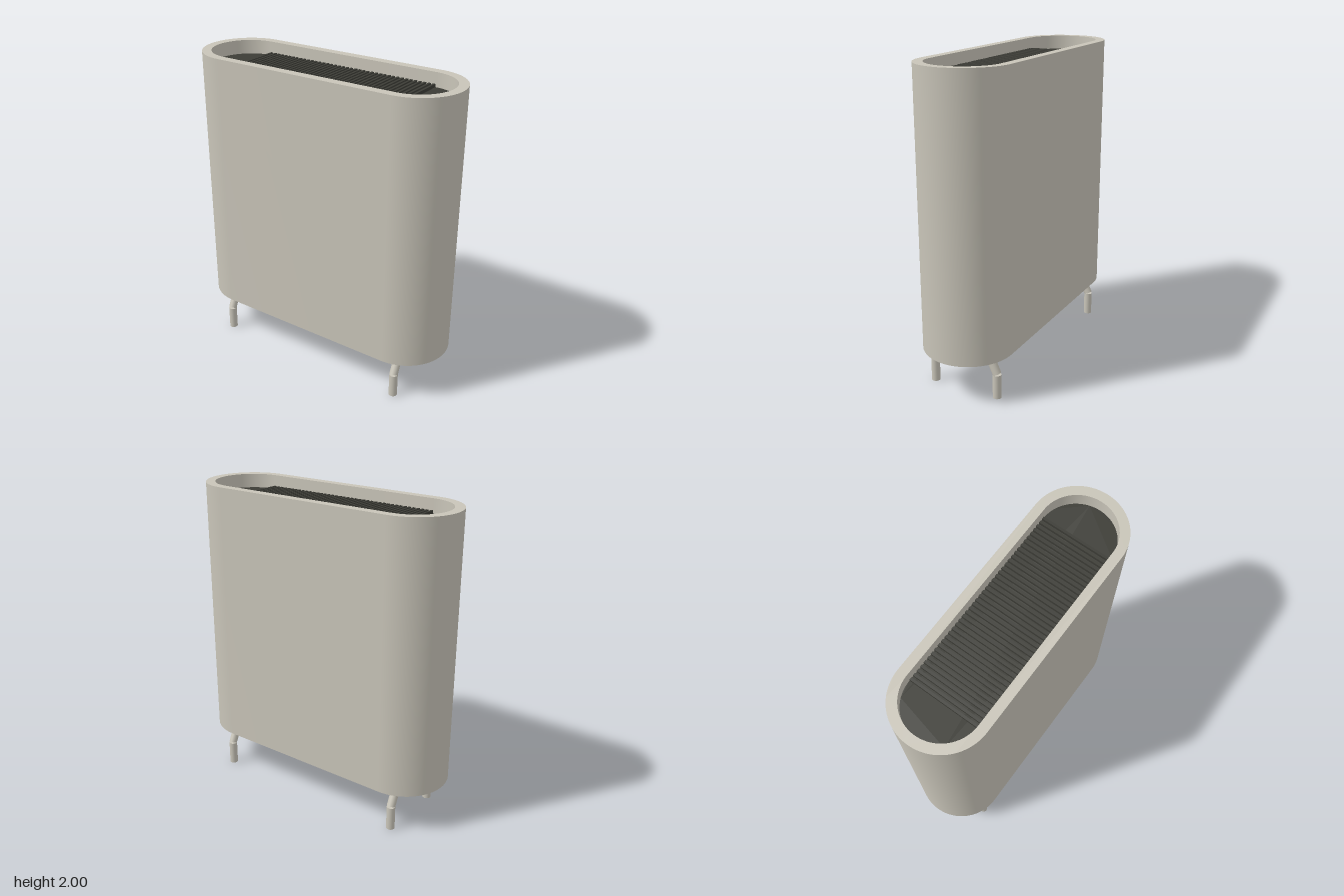
import * as THREE from 'three';
import { toCreasedNormals } from 'three/addons/utils/BufferGeometryUtils.js';

// Rounded slot outline: two half circles joined by straight sides
function slot(path, halfLength, r) {
  const c = halfLength - r;
  path.moveTo(-c, -r);
  path.lineTo(c, -r);
  path.absarc(c, 0, r, -Math.PI / 2, Math.PI / 2, false);
  path.lineTo(-c, r);
  path.absarc(-c, 0, r, Math.PI / 2, Math.PI * 1.5, false);
  return path;
}

// Extrude an outline upward from y0 to y1
function extrudeUp(shape, y0, y1) {
  const geo = new THREE.ExtrudeGeometry(shape, { depth: y1 - y0, bevelEnabled: false, curveSegments: 28 });
  geo.rotateX(-Math.PI / 2);
  geo.translate(0, y0, 0);
  return toCreasedNormals(geo, 0.5);
}

export function createModel() {
  const model = new THREE.Group();
  model.name = 'slottedCasing';
  const shellMat = new THREE.MeshStandardMaterial({ color: 0xc8c4b8 });
  shellMat.name = 'warm grey';
  const grilleMat = new THREE.MeshStandardMaterial({ color: 0x3c3c36 });
  grilleMat.name = 'charcoal';

  const add = (parent, name, geo, mat) => {
    const mesh = new THREE.Mesh(geo, mat);
    mesh.name = name;
    parent.add(mesh);
    return mesh;
  };

  const bottom = 0.275, top = 2, floorY = 1.91;
  const outerR = 0.288, innerR = 0.23, innerHalf = 0.84;

  // Outer wall with an open top
  const wall = slot(new THREE.Shape(), 0.9, outerR);
  wall.holes.push(slot(new THREE.Path(), innerHalf, innerR));
  add(model, 'outerWall', extrudeUp(wall, bottom, top), shellMat);

  // Underside plate and recessed grille floor
  const inner = slot(new THREE.Shape(), innerHalf, innerR);
  add(model, 'basePlate', extrudeUp(inner, bottom, bottom + 0.03), shellMat);
  add(model, 'grilleFloor', extrudeUp(inner, floorY - 0.03, floorY), grilleMat);

  // Row of thin fins across the recess
  const fins = new THREE.Group();
  fins.name = 'grilleFins';
  model.add(fins);
  const count = 41;
  const finGeo = new THREE.BoxGeometry(0.016, 0.02, innerR * 2 - 0.004);
  for (let i = 0; i < count; i++) {
    const fin = add(fins, 'fin', finGeo, grilleMat);
    fin.position.set(-0.6 + (1.2 * i) / (count - 1), floorY + 0.01, 0);
  }

  // Bent legs: straight foot plus a strut leaning inward
  const legR = 0.027, kneeY = 0.158, kneeZ = 0.222;
  const footGeo = new THREE.CylinderGeometry(legR, legR, 0.155, 24);
  const dy = 0.14, dz = -0.065;
  const strutGeo = new THREE.CylinderGeometry(legR, legR, Math.hypot(dy, dz), 24);
  for (const sx of [1, -1]) {
    for (const sz of [1, -1]) {
      const leg = new THREE.Group();
      leg.name = (sz > 0 ? 'front' : 'back') + (sx > 0 ? 'Left' : 'Right') + 'Leg';
      leg.position.x = sx * 0.672;
      model.add(leg);
      add(leg, 'foot', footGeo, shellMat).position.set(0, 0.0775, sz * kneeZ);
      const strut = add(leg, 'strut', strutGeo, shellMat);
      strut.position.set(0, kneeY + dy / 2, sz * (kneeZ + dz / 2));
      strut.rotation.x = sz * Math.atan2(dz, dy);
    }
  }
  return model;
}
